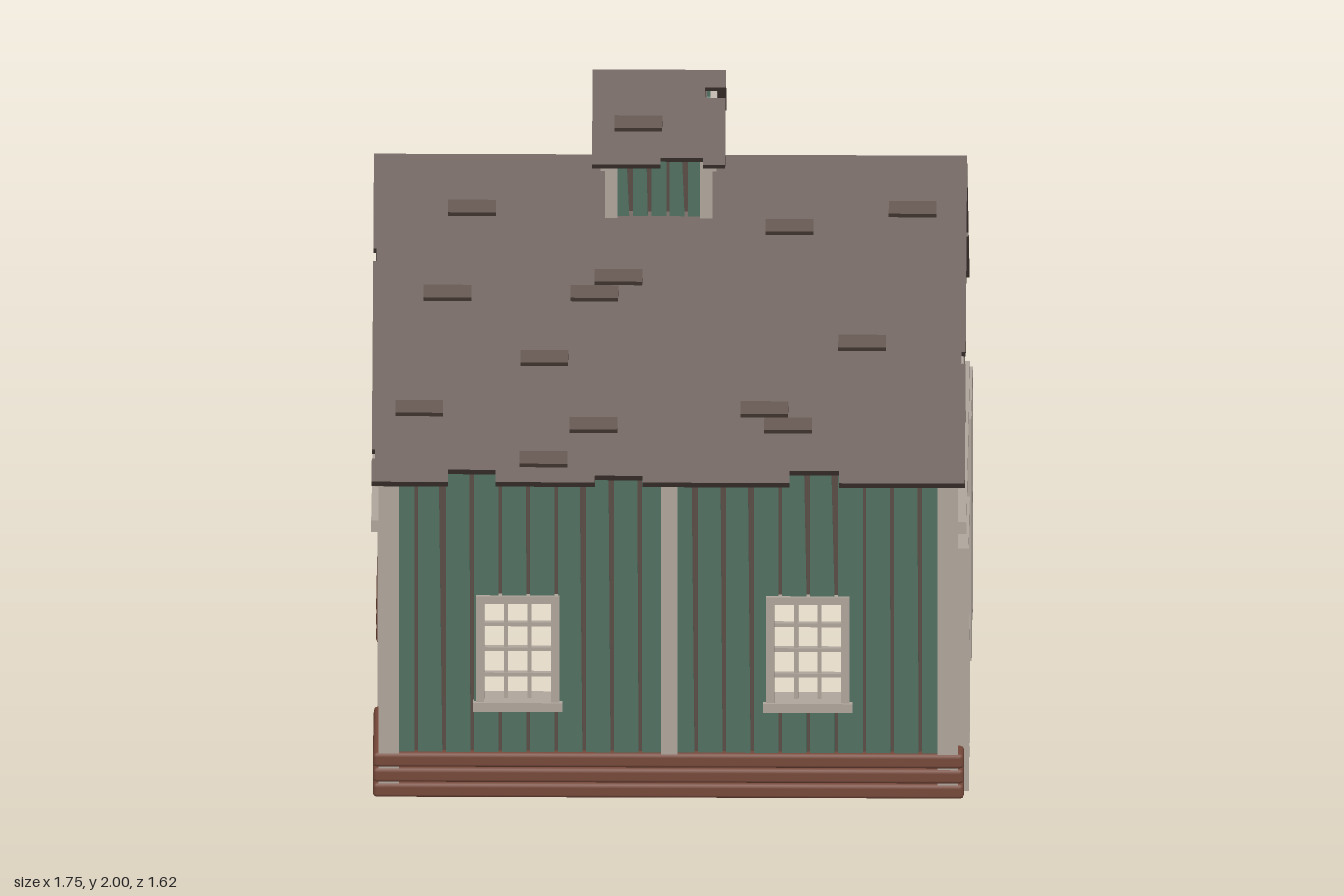
import * as THREE from 'three';
import { RoundedBoxGeometry } from 'three/addons/geometries/RoundedBoxGeometry.js';

const paint = (name, color) => Object.assign(new THREE.MeshStandardMaterial({ color }), { name });
const SLOPE = 0.864, A = Math.atan(SLOPE);

export function createModel() {
  const green = paint('green boards', 0x527062);
  const trim = paint('pale trim', 0xb0a69c);
  const brown = paint('dark brown shingle', 0x5b4c45);
  const log = paint('red brown log', 0x77493a);
  const iron = paint('dark iron', 0x3b2f2c);

  let seed = 7;
  const rnd = () => (seed = (seed * 16807) % 2147483647) / 2147483647;

  const add = (g, name, geo, mat, x = 0, y = 0, z = 0, rz = 0) => {
    const m = new THREE.Mesh(geo, mat);
    m.name = name;
    m.position.set(x, y, z);
    m.rotation.z = rz;
    g.add(m);
    return m;
  };
  const box = (g, name, mat, w, h, d, x, y, z, rz = 0) =>
    add(g, name, new THREE.BoxGeometry(w, h, d), mat, x, y, z, rz);
  const group = (parent, name, x = 0, y = 0, z = 0, ry = 0) => {
    const g = new THREE.Group();
    g.name = name;
    g.position.set(x, y, z);
    g.rotation.y = ry;
    parent.add(g);
    return g;
  };
  const outline = pts => new THREE.Shape(pts.map(p => new THREE.Vector2(...p)));
  const slab = (shape, depth) => new THREE.ExtrudeGeometry(shape, { depth, bevelEnabled: false });

  // Vertical boards with uneven gaps, cut around openings and under a sloping top
  function siding(parent, u0, u1, y0, top, holes = [], step = 0.083) {
    const g = group(parent, 'siding');
    const n = Math.round((u1 - u0) / step), w = (u1 - u0) / n;
    for (let i = 0; i < n; i++) {
      const a = u0 + i * w + 0.005, b = u0 + (i + 1) * w - 0.005;
      const cuts = [a, b, 0, ...holes.flatMap(h => [h.a, h.b])]
        .filter(c => c >= a && c <= b).sort((p, q) => p - q);
      const lean = cuts.length === 2 ? rnd() * 0.012 : 0;
      for (let k = 0; k + 1 < cuts.length; k++) {
        const l = cuts[k], r = cuts[k + 1], mid = (l + r) / 2;
        if (r - l < 0.001) continue;
        const h = holes.find(o => mid > o.a && mid < o.b);
        if (h && h.y0 > y0) box(g, 'board', green, r - l, h.y0 - y0, 0.012, mid, (h.y0 + y0) / 2, 0.006);
        const base = h ? h.y1 : y0;
        add(g, 'board', slab(outline([[l, base], [r, base], [r - lean, top(r - lean)], [l, top(l)]]), 0.012), green);
      }
    }
  }

  // Roof slope: slab with notched edges and loose raised shingles
  function roofSlope(parent, ridge, half, len, thick, eave, left, right, patches, f, ry) {
    const turn = group(parent, 'roofSlope', 0, ridge, 0, ry);
    const g = group(turn, 'slopePlane');
    g.rotation.x = A - Math.PI / 2;
    const pts = [[-half, 0]];
    for (const [s, d, l] of left) pts.push([-half, -s + l / 2], [d - half, -s + l / 2], [d - half, -s - l / 2], [-half, -s - l / 2]);
    pts.push([-half, -len]);
    for (const [a, b, d] of eave) pts.push([a, -len], [a, d - len], [b, d - len], [b, -len]);
    pts.push([half, -len]);
    for (const [s, d, l] of right) pts.push([half, -s - l / 2], [half - d, -s - l / 2], [half - d, -s + l / 2], [half, -s + l / 2]);
    pts.push([half, 0]);
    add(g, 'roofSlab', slab(outline(pts.map(([x, y]) => [f * x, y])), thick), brown, 0, 0, -thick);
    for (const [x, z] of patches) {
      box(g, 'shingle', brown, 0.14, 0.045, 0.018, f * x, -z / Math.cos(A), 0.006).rotation.x = -0.15;
    }
  }

  // Sloping trim under a gable edge
  function bargeboards(g, ridge, reach, width, depth, z) {
    const drop = reach * SLOPE;
    for (const s of [-1, 1]) {
      add(g, 'bargeboard', slab(outline([[0, ridge], [s * reach, ridge - drop],
        [s * reach, ridge - drop - width], [0, ridge - width]]), depth), trim, 0, 0, z);
    }
  }

  // Door leaf: boards framed and braced alike on both faces
  function doorLeaf(parent, u, z) {
    const g = group(parent, 'slidingDoor', u, 0, z);
    for (let i = 0; i < 5; i++) box(g, 'doorBoard', green, 0.073, 0.75, 0.014, -0.154 + i * 0.077, 0.385, 0);
    box(g, 'doorCore', green, 0.38, 0.75, 0.006, 0, 0.385, 0);
    for (const ry of [0, Math.PI]) {
      const s = group(g, 'doorFrame', 0, 0, 0, ry);
      for (const x of [-0.18, 0.18]) box(s, 'stile', trim, 0.032, 0.77, 0.017, x, 0.385, 0.0085);
      for (const y of [0.017, 0.39, 0.753]) box(s, 'rail', trim, 0.36, 0.035, 0.016, 0, y, 0.008);
      for (const y of [0.203, 0.572]) box(s, 'brace', trim, 0.455, 0.034, 0.014, 0, y, 0.007, 0.785);
    }
  }

  function windowFrame(parent, u) {
    const g = group(parent, 'window', u, 0.47, 0.713);
    for (const s of [-1, 1]) box(g, 'windowJamb', trim, 0.024, 0.34, 0.075, s * 0.11, 0, 0);
    box(g, 'windowHead', trim, 0.244, 0.024, 0.075, 0, 0.16, 0);
    box(g, 'windowSill', trim, 0.262, 0.028, 0.09, 0, -0.178, 0);
    for (const x of [-0.034, 0.034]) box(g, 'muntin', trim, 0.012, 0.32, 0.014, x, 0, 0.01);
    for (const y of [-0.085, -0.004, 0.075]) box(g, 'muntin', trim, 0.2, 0.012, 0.016, 0, y, 0.01);
  }

  const model = new THREE.Group();
  model.name = 'barn';
  const barn = group(model, 'barnBody', -0.006);

  // Long walls with two windows each
  for (const ry of [0, Math.PI]) {
    const g = group(barn, 'longWall', 0, 0, 0, ry);
    const holes = [-0.441, 0.408].map(c => ({ a: c - 0.1, b: c + 0.1, y0: 0.3, y1: 0.62 }));
    const wall = outline([[-0.83, 0.01], [0.83, 0.01], [0.83, 1.05], [-0.83, 1.05]]);
    for (const h of holes) {
      wall.holes.push(new THREE.Path([[h.a, h.y0], [h.a, h.y1], [h.b, h.y1], [h.b, h.y0]].map(p => new THREE.Vector2(...p))));
      windowFrame(g, (h.a + h.b) / 2);
    }
    add(g, 'wallCore', slab(wall, 0.03), brown, 0, 0, 0.7);
    const boards = group(g, 'wallBoards', 0, 0, 0.73);
    siding(boards, -0.82, 0.82, 0.1, () => 1.04, holes);
    box(g, 'middlePost', trim, 0.048, 0.9, 0.075, 0.003, 0.57, 0.713);
    for (const s of [-1, 1]) box(g, 'cornerPost', trim, 0.06, 1.0, 0.06, s * 0.818, 0.515, 0.72);
    for (let i = 0; i < 3; i++) {
      add(g, 'foundationLog', new RoundedBoxGeometry(1.73, 0.046, 0.062, 1, 0.012), log, 0, 0.025 + i * 0.048, 0.726);
    }
  }

  // Gable ends: one with doors slid open, one closed
  const gableTop = u => 1.69 - SLOPE * Math.abs(u);
  for (const [ry, open] of [[Math.PI / 2, true], [-Math.PI / 2, false]]) {
    const g = group(barn, 'gableEnd', 0, 0, 0, ry);
    add(g, 'gableCore', slab(outline([[-0.72, 0.01], [-0.37, 0.01], [-0.37, 0.77], [0.37, 0.77], [0.37, 0.01],
      [0.72, 0.01], [0.72, gableTop(0.72)], [0, 1.69], [-0.72, gableTop(0.72)]]), 0.03), brown, 0, 0, 0.798);
    const boards = group(g, 'gableBoards', 0, 0, 0.828);
    siding(boards, -0.7, 0.7, 0.1, gableTop, [{ a: -0.37, b: 0.37, y0: 0, y1: 0.77 }]);
    bargeboards(g, 1.695, 0.76, 0.045, 0.022, 0.836);
    for (const s of [-1, 1]) {
      for (let i = 0; i < 3; i++) {
        add(g, 'foundationLog', new RoundedBoxGeometry(0.36, 0.046, 0.062, 1, 0.012), log, s * 0.573, 0.025 + i * 0.048, 0.834);
      }
      box(g, 'doorJamb', trim, 0.025, 0.77, 0.045, s * 0.375, 0.39, 0.81);
      if (open) doorLeaf(g, s * 0.487, 0.862);
      else doorLeaf(g, s * 0.196, 0.838);
    }
    box(g, 'doorHeader', trim, 0.79, 0.04, 0.03, 0, 0.79, 0.79);
    box(g, 'doorTrack', trim, 1.21, 0.038, 0.036, 0, 0.802, 0.853);

    // Loft door with crossed braces and hinges
    const loft = group(g, 'loftDoor', 0.003, 1.14, 0.845);
    box(loft, 'loftPanel', green, 0.3, 0.44, 0.012, 0, 0, 0);
    for (const s of [-1, 1]) {
      box(loft, 'loftStile', trim, 0.038, 0.46, 0.024, s * 0.142, 0, 0.002);
      box(loft, 'loftRail', trim, 0.32, 0.036, 0.022, 0, s * 0.2, 0.002);
      box(loft, 'loftBrace', trim, 0.44, 0.026, 0.016, 0, 0, 0.002 + s * 0.0005, s * 0.965);
      box(loft, 'hinge', iron, 0.036, 0.062, 0.026, 0.17, s * 0.142, 0.002);
    }
    box(loft, 'loftHead', trim, 0.326, 0.02, 0.028, 0, 0.226, 0.002);
    box(loft, 'loftSill', trim, 0.326, 0.04, 0.03, 0, -0.222, 0.002);
  }

  // Main roof
  const patches = [[-0.58, 0.135], [0.71, 0.135], [0.35, 0.18], [-0.15, 0.305], [-0.22, 0.345], [-0.65, 0.345],
    [0.565, 0.465], [-0.365, 0.505], [-0.73, 0.63], [0.28, 0.63], [0.35, 0.67], [-0.22, 0.67], [-0.365, 0.755]];
  const eave = [[-0.645, -0.505, 0.04], [-0.215, -0.075, 0.022], [0.355, 0.5, 0.04]];
  for (const f of [1, -1]) {
    roofSlope(barn, 1.73, 0.868, 1.07, 0.03, eave, [[0.33, 0.01, 0.04], [0.98, 0.01, 0.03]], [[0.66, 0.012, 0.04]],
      patches, f, f > 0 ? 0 : Math.PI);
  }

  // Cupola on the ridge
  const cupola = group(barn, 'cupola', -0.033);
  const capTop = u => 1.965 - SLOPE * Math.abs(u);
  add(cupola, 'cupolaCore', slab(outline([[-0.14, 1.6], [0.14, 1.6], [0.14, capTop(0.14)], [0, 1.965], [-0.14, capTop(0.14)]]), 0.28),
    brown, -0.14, 0, 0).rotation.y = Math.PI / 2;
  for (let i = 0; i < 4; i++) {
    const g = group(cupola, 'cupolaSide', 0, 0, 0, i * Math.PI / 2);
    const boards = group(g, 'cupolaBoards', 0, 0, 0.14);
    siding(boards, -0.135, 0.135, 1.59, i % 2 ? capTop : () => 1.84, [], 0.055);
    box(g, 'cupolaPost', trim, 0.036, 0.25, 0.036, 0.139, 1.715, 0.139);
    if (i % 2) bargeboards(g, 1.97, 0.2, 0.035, 0.02, 0.15);
    const capSlope = i % 2 === 0;
    if (capSlope) {
      roofSlope(cupola, 2.0, 0.195, 0.31, 0.025, [[0.005, 0.13, 0.022]], [], [[0.075, 0.06, 0.035]],
        [[-0.06, 0.135]], 1, i * Math.PI / 2);
    }
  }
  return model;
}
